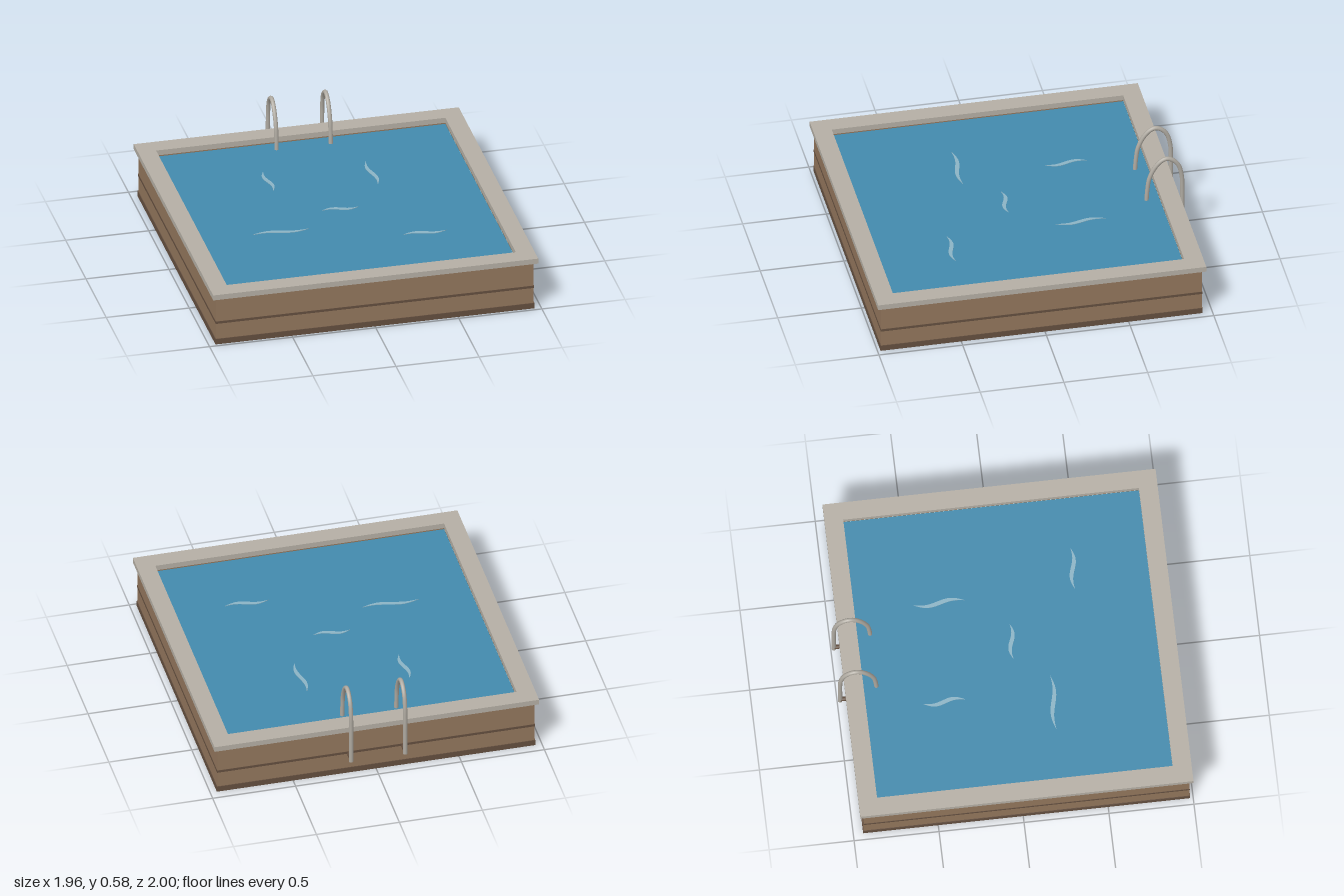
import * as THREE from 'three';

const material = (name, color, side = THREE.FrontSide) => {
  const m = new THREE.MeshStandardMaterial({ color, side });
  m.name = name;
  return m;
};

const CENTRE_Z = 0.02;
const INNER = 0.87;
const WATER_Y = 0.295;

export function createModel() {
  const stone = material('stone', 0xb4aea4);
  const wood = material('wood', 0x92765c);
  const darkWood = material('dark wood', 0x644f3f);
  const liner = material('liner', 0xb2d2d8);
  const water = material('water', 0x4289ac, THREE.DoubleSide);
  const foam = material('ripple', 0x8bb3c4);
  const metal = material('metal', 0xaea9a0);

  const model = new THREE.Group();
  const add = (name, geometry, mat, parent = model) => {
    const mesh = new THREE.Mesh(geometry, mat);
    mesh.name = name;
    parent.add(mesh);
    return mesh;
  };

  // Rectangular ring around the pool, from height y0 to y1
  const rectangle = (path, hx, hz) => {
    path.moveTo(-hx, -hz);
    path.lineTo(hx, -hz);
    path.lineTo(hx, hz);
    path.lineTo(-hx, hz);
    path.closePath();
    return path;
  };
  const frame = (name, hx, hz, inner, y0, y1, mat) => {
    const shape = rectangle(new THREE.Shape(), hx, hz);
    shape.holes.push(rectangle(new THREE.Path(), inner, inner));
    const g = new THREE.ExtrudeGeometry(shape, { depth: y1 - y0, bevelEnabled: false });
    g.rotateX(-Math.PI / 2);
    g.translate(0, y0, CENTRE_Z);
    add(name, g, mat);
  };

  // Walls, trims and coping
  frame('walls', 0.956, 0.958, INNER + 0.002, 0.02, 0.302, wood);
  frame('baseTrim', 0.96, 0.962, INNER, 0, 0.035, darkWood);
  frame('middleTrim', 0.958, 0.96, INNER + 0.004, 0.134, 0.149, darkWood);
  frame('liner', INNER + 0.001, INNER + 0.001, INNER - 0.004, 0.001, WATER_Y - 0.001, liner);
  frame('coping', 0.978, 0.98, INNER, 0.302, 0.335, stone);

  // Water surface
  const surface = new THREE.PlaneGeometry(INNER * 2, INNER * 2);
  surface.rotateX(-Math.PI / 2);
  surface.translate(0, WATER_Y, CENTRE_Z);
  add('water', surface, water);

  // Tapered S-shaped ripples: centre x, centre z, length, runs along z
  const ripples = [
    [-0.385, 0.243, 0.34, false],
    [0.02, 0.043, 0.22, false],
    [0.43, 0.45, 0.26, false],
    [-0.308, -0.39, 0.25, true],
    [0.306, -0.35, 0.3, true],
  ];
  const STEPS = 16;
  for (const [cx, cz, length, alongZ] of ripples) {
    const points = [];
    const put = (t, side) => {
      const u = (t - 0.5) * length;
      const v = -0.014 * Math.sin(t * Math.PI * 2) + side * 0.013 * Math.sin(t * Math.PI);
      points.push(alongZ ? new THREE.Vector2(cx + v, cz + u) : new THREE.Vector2(cx + u, cz + v));
    };
    for (let i = 0; i <= STEPS; i++) put(i / STEPS, 1);
    for (let i = STEPS - 1; i > 0; i--) put(i / STEPS, -1);
    const g = new THREE.ExtrudeGeometry(new THREE.Shape(points), { depth: 0.006, bevelEnabled: false });
    g.rotateX(Math.PI / 2);
    g.translate(0, WATER_Y + 0.003, 0);
    add('ripple', g, foam);
  }

  // Arched handrails over the back wall, each with an end cap and wall bracket
  const arch = [
    [0.29, -0.773], [0.36, -0.778], [0.44, -0.79], [0.515, -0.825], [0.555, -0.862],
    [0.567, -0.893], [0.555, -0.928], [0.515, -0.963], [0.44, -0.983], [0.36, -0.987],
    [0.24, -0.987], [0.11, -0.987],
  ];
  for (const [name, x] of [['rightHandrail', -0.164], ['leftHandrail', 0.162]]) {
    const rail = new THREE.Group();
    rail.name = name;
    model.add(rail);
    const curve = new THREE.CatmullRomCurve3(arch.map(([y, z]) => new THREE.Vector3(x, y, z)));
    add('railTube', new THREE.TubeGeometry(curve, 64, 0.013, 12), metal, rail);

    const cap = new THREE.CircleGeometry(0.013, 12);
    cap.rotateX(Math.PI / 2);
    cap.translate(x, 0.11, -0.987);
    add('railCap', cap, metal, rail);

    const bracket = new THREE.CylinderGeometry(0.013, 0.013, 0.05, 12);
    bracket.rotateX(Math.PI / 2);
    bracket.translate(x, 0.133, -0.96);
    add('railBracket', bracket, darkWood, rail);
  }

  return model;
}
